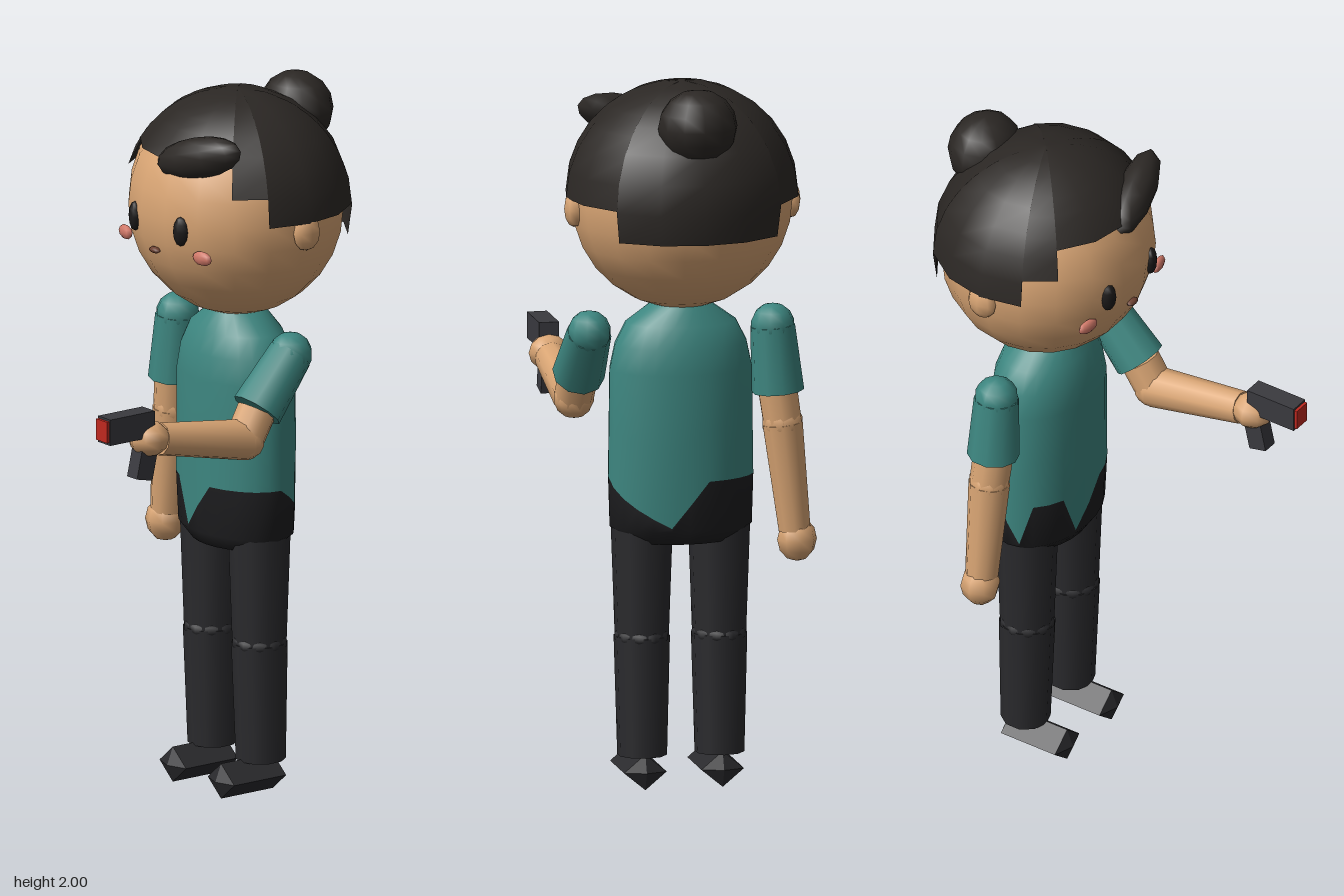
import * as THREE from 'three';

const V = (x, y, z) => new THREE.Vector3(x, y, z);
const mat = (color, extra = {}) => new THREE.MeshStandardMaterial({ color, ...extra });
const skin = mat(0xd9a574), teal = mat(0x3d8680), hairMat = mat(0x2b2724, { side: THREE.DoubleSide });
const cloth = mat(0x2a2a2d), shoeMat = mat(0x2a2a2d, { flatShading: true }), hemMat = mat(0x1d1d1f);
const dark = mat(0x1c1a1a), blush = mat(0xd07868), metal = mat(0x3a3a3f), red = mat(0xc0281f);

function add(parent, name, geometry, material, pos = [0, 0, 0]) {
  const m = new THREE.Mesh(geometry, material);
  m.name = name;
  m.position.set(...pos);
  parent.add(m);
  return m;
}

function ball(parent, name, pos, size, material, w = 10, h = 7) {
  return add(parent, name, new THREE.SphereGeometry(1, w, h).scale(...size), material, pos);
}

// Tapered limb section from point a to point b
function limb(parent, name, a, b, ra, rb, material) {
  const d = b.clone().sub(a);
  const m = add(parent, name, new THREE.CylinderGeometry(rb, ra, d.length(), 10), material);
  m.position.copy(a).addScaledVector(d, 0.5);
  m.quaternion.setFromUnitVectors(V(0, 1, 0), d.normalize());
  return m;
}

// Surface wrapped round the y axis; point(i, j) with j rising upwards
function wrapSurface(cols, rows, point) {
  const pos = [], idx = [];
  for (let j = 0; j <= rows; j++) {
    for (let i = 0; i < cols; i++) {
      pos.push(...point(i, j));
      if (j === rows) continue;
      const n = (i + 1) % cols, a = j * cols + i, b = j * cols + n;
      idx.push(a, b, b + cols, a, b + cols, a + cols);
    }
  }
  const g = new THREE.BufferGeometry();
  g.setAttribute('position', new THREE.Float32BufferAttribute(pos, 3));
  g.setIndex(idx);
  g.computeVertexNormals();
  return g;
}

const lerp = THREE.MathUtils.lerp, rad = THREE.MathUtils.degToRad;

// Piecewise linear lookup in rows of [key, value, value...]
function sample(table, key, k) {
  let n = 1;
  while (n < table.length - 1 && table[n][0] < key) n++;
  const a = table[n - 1], b = table[n];
  return lerp(a[k], b[k], THREE.MathUtils.clamp((key - a[0]) / (b[0] - a[0]), 0, 1));
}

function buildTorso(g) {
  // height, half width, half depth
  const profile = [[0.70, 0.15, 0.105], [0.74, 0.2, 0.13], [0.88, 0.204, 0.138], [1.18, 0.2, 0.138],
    [1.25, 0.185, 0.13], [1.31, 0.155, 0.11], [1.36, 0.085, 0.08], [1.385, 0.06, 0.06]];
  // azimuth, height of the zigzag shirt edge
  const edge = [[0, 0.815], [15, 0.88], [90, 0.88], [165, 0.75], [195, 0.88], [255, 0.88],
    [285, 0.75], [300, 0.88], [330, 0.88], [345, 0.75], [360, 0.815]];
  const cols = 24;
  const at = (i, y) => {
    const a = rad(i * 360 / cols);
    return [0.022 + Math.sin(a) * sample(profile, y, 1), y, -0.173 + Math.cos(a) * sample(profile, y, 2)];
  };
  const hem = i => sample(edge, i * 360 / cols, 1);
  add(g, 'shirt', wrapSurface(cols, 6, (i, j) =>
    at(i, j < 2 ? lerp(hem(i), 1.18, j / 2) : profile[j + 1][0])), teal);
  add(g, 'waist', wrapSurface(cols, 3, (i, j) =>
    j === 0 ? [0.022, 0.70, -0.173] : at(i, [0, 0.70, 0.74, hem(i)][j])), hemMat);
  add(g, 'collar', new THREE.CylinderGeometry(0.07, 0.085, 0.05, 12), teal, [0.022, 1.36, -0.173]);
}

function buildHead(g) {
  const head = new THREE.Group();
  head.name = 'head';
  g.add(head);
  ball(head, 'face', [0.02, 1.665, -0.175], [0.31, 0.315, 0.295], skin, 18, 14);

  // Hair cap with a stepped hem: azimuth, hem height
  const half = [[0, 1.83], [24, 1.83], [48, 1.83], [48, 1.75], [67, 1.75], [67, 1.67], [90, 1.67],
    [112, 1.67], [135, 1.67], [135, 1.58], [158, 1.58], [180, 1.58]];
  const cols = [...half, ...half.slice(1, -1).reverse().map(([a, y]) => [360 - a, y])];
  add(head, 'hairCap', wrapSurface(cols.length, 7, (i, j) => {
    const a = rad(cols[i][0]);
    const t = Math.acos((cols[i][1] - 1.665) / 0.322) * (1 - j / 7);
    return [0.02 + 0.327 * Math.sin(t) * Math.sin(a), 1.665 + 0.322 * Math.cos(t),
      -0.18 + 0.31 * Math.sin(t) * Math.cos(a)];
  }), hairMat);
  ball(head, 'hairBun', [0.02, 1.895, -0.383], [0.112, 0.105, 0.1], hairMat, 12, 8);
  const quiff = ball(head, 'quiff', [0.132, 1.848, 0.04], [0.152, 0.058, 0.055], hairMat, 10, 8);
  quiff.rotation.set(0, 0.25, 0.28);

  for (const s of [-1, 1]) {
    ball(head, 'ear', [0.02 + s * 0.305, 1.64, -0.185], [0.028, 0.052, 0.045], skin, 8, 6);
    const eye = ball(head, 'eye', [0.021 + s * 0.103, 1.645, 0.098], [0.024, 0.042, 0.018], dark, 8, 6);
    eye.rotation.y = s * 0.3;
    const cheek = ball(head, 'cheek', [0.021 + s * 0.173, 1.58, 0.077], [0.035, 0.02, 0.013], blush, 8, 6);
    cheek.rotation.y = s * 0.2;
  }
  ball(head, 'mouth', [0.02, 1.572, 0.108], [0.022, 0.009, 0.012], mat(0x6b3f30), 8, 5);
}

function buildLeg(g, x) {
  const leg = new THREE.Group();
  leg.name = x > 0 ? 'leftLeg' : 'rightLeg';
  g.add(leg);
  limb(leg, 'thigh', V(x, 0.8, -0.17), V(x, 0.43, -0.17), 0.088, 0.075, cloth);
  ball(leg, 'knee', [x, 0.43, -0.17], [0.079, 0.04, 0.08], cloth);
  limb(leg, 'shin', V(x, 0.43, -0.17), V(x, 0.095, -0.175), 0.078, 0.069, cloth);
  // Diamond-section shoe, pointed at toe and heel
  const pts = [[0, -0.11], [0.05, -0.09], [0.05, 0.09], [0, 0.11]].map(p => new THREE.Vector2(...p));
  const shoe = new THREE.LatheGeometry(pts, 4).rotateX(Math.PI / 2).scale(1.2, 1, 1);
  add(leg, 'shoe', shoe, shoeMat, [x, 0.052, -0.127]);
}

function buildArm(g, name, shoulder, cuff, elbow, wrist, hand, handSize) {
  const arm = new THREE.Group();
  arm.name = name;
  g.add(arm);
  ball(arm, 'shoulder', shoulder.toArray(), [0.062, 0.062, 0.062], teal);
  limb(arm, 'sleeve', shoulder, cuff, 0.062, 0.073, teal);
  limb(arm, 'upperArm', cuff, elbow, 0.056, 0.055, skin);
  ball(arm, 'elbow', elbow.toArray(), [0.058, 0.058, 0.058], skin);
  limb(arm, 'forearm', elbow, wrist, 0.058, 0.046, skin);
  ball(arm, 'hand', hand, handSize, skin, 8, 6);
  return arm;
}

function buildPistol(g) {
  const pistol = new THREE.Group();
  pistol.name = 'toyPistol';
  g.add(pistol);
  add(pistol, 'barrel', new THREE.BoxGeometry(0.056, 0.074, 0.155), metal, [0.282, 1.177, 0.408]);
  const grip = add(pistol, 'grip', new THREE.BoxGeometry(0.045, 0.15, 0.055), metal, [0.282, 1.093, 0.345]);
  grip.rotation.x = -0.22;
  add(pistol, 'redTip', new THREE.BoxGeometry(0.05, 0.06, 0.012), red, [0.282, 1.178, 0.488]);
}

export function createModel() {
  const g = new THREE.Group();
  g.name = 'figure';
  buildTorso(g);
  buildHead(g);
  for (const x of [-0.087, 0.131]) buildLeg(g, x);
  buildArm(g, 'rightArm', V(-0.238, 1.285, -0.17), V(-0.253, 1.1, -0.17), V(-0.265, 1.01, -0.175),
    V(-0.298, 0.71, -0.178), [-0.305, 0.682, -0.178], [0.056, 0.062, 0.056]);
  buildArm(g, 'leftArm', V(0.278, 1.285, -0.165), V(0.282, 1.145, -0.045), V(0.285, 1.07, 0.0),
    V(0.284, 1.122, 0.295), [0.283, 1.13, 0.33], [0.057, 0.05, 0.06]);
  buildPistol(g);
  return g;
}
